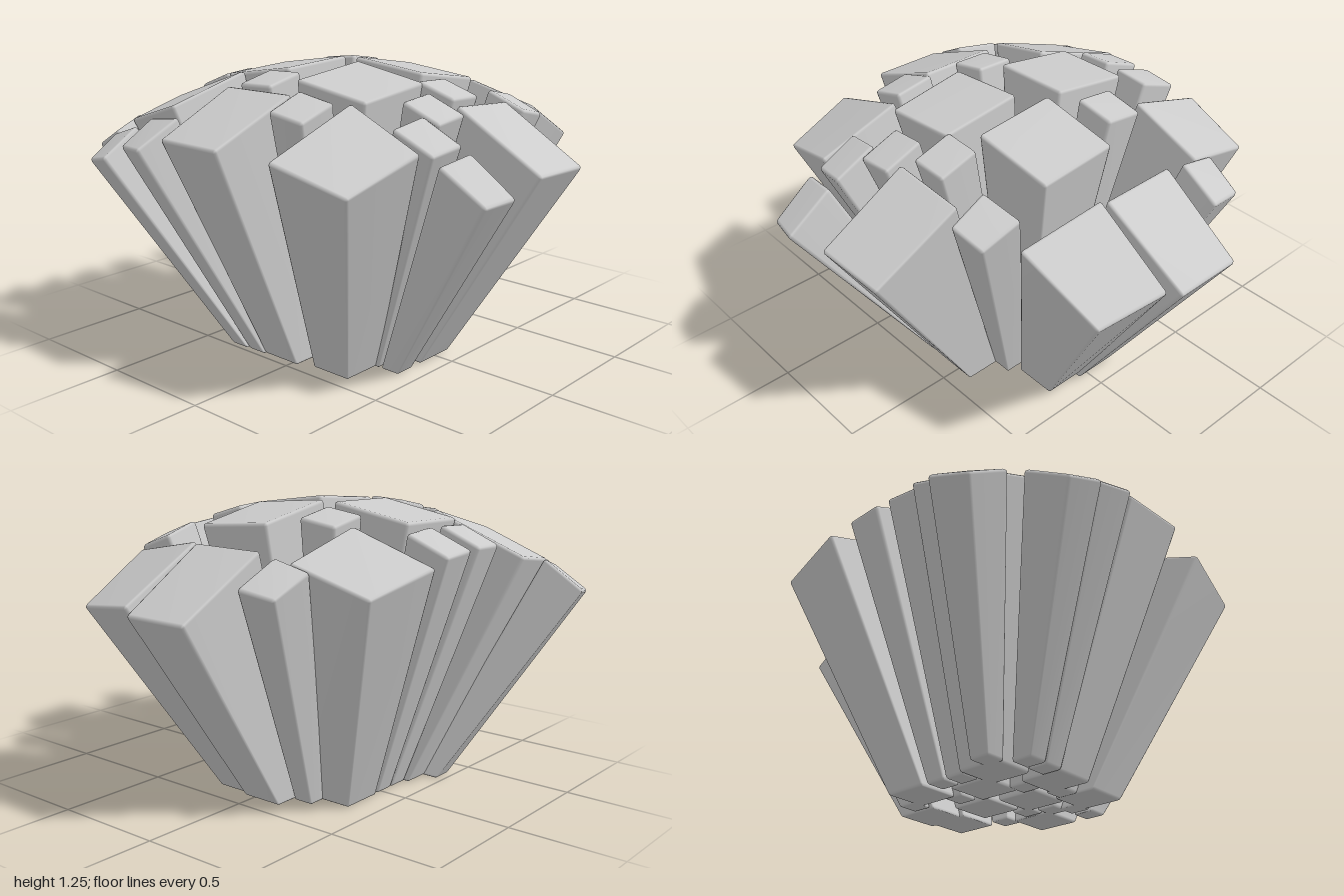
import * as THREE from 'three';
import { mergeVertices } from 'three/addons/utils/BufferGeometryUtils.js';
import { RoundedBoxGeometry } from 'three/addons/geometries/RoundedBoxGeometry.js';

// Top corners as x, z pairs: back -x, back +x, front +x, front -x
const wideTops = [
  [-.42, .01, -.05, .01, -.06, .375, -.415, .37],
  [.04, -.085, .41, -.085, .41, .275, .04, .285],
  [-.31, -.52, .045, -.52, .05, -.145, -.31, -.145],
  [-.64, -.78, -.31, -.85, -.325, -.39, -.69, -.44],
  [.235, -.785, .57, -.725, .605, -.375, .25, -.4],
  [.59, -.22, .985, -.195, .985, .11, .59, .125],
  [.575, .14, .95, .155, .895, .465, .53, .515],
  [-.1, .57, .24, .565, .22, .955, -.1, .97],
  [-.88, .31, -.45, .33, -.48, .695, -.82, .64],
  [-.92, -.24, -.535, -.265, -.535, .095, -.925, .08],
];
const slimTops = [
  [-.515, -.22, -.34, -.22, -.34, -.045, -.515, -.045],
  [-.675, .11, -.495, .1, -.495, .285, -.67, .28],
  [-.29, .45, -.125, .45, -.125, .63, -.29, .63],
  [-.07, .35, .1, .35, .1, .53, -.07, .53],
  [.13, -.355, .31, -.355, .31, -.175, .13, -.175],
  [.265, .46, .455, .435, .44, .62, .28, .635],
  [-.465, .545, -.3, .56, -.3, .75, -.455, .73],
  [-.47, .765, -.3, .785, -.3, .995, -.45, .965],
  [-.25, -.765, -.09, -.77, -.095, -.58, -.26, -.58],
  [-.03, -.775, .135, -.77, .135, -.575, -.03, -.575],
  [.6, -.475, .775, -.45, .795, -.285, .6, -.3],
  [-.7, -.945, -.545, -1, -.57, -.8, -.735, -.765],
  [-.945, -.675, -.77, -.725, -.795, -.54, -.985, -.525],
  [-.935, -.47, -.755, -.495, -.785, -.285, -.975, -.32],
];

// Dome that carries the top faces, and how far the feet draw in
const apex = { x: -.075, z: -.05, y: 1.25, radius: 1.7 };
const footScale = .45;

const domeHeight = (x, z) => {
  const r2 = (x - apex.x) ** 2 + (z - apex.z) ** 2;
  return apex.y - apex.radius + Math.sqrt(apex.radius ** 2 - r2);
};

// A bevelled box whose eight corners are moved to the foot square and the dome
function pillarGeometry(top, footSize, width) {
  const corners = [0, 2, 4, 6].map(i =>
    new THREE.Vector3(top[i], domeHeight(top[i], top[i + 1]), top[i + 1]));
  const mid = new THREE.Vector3();
  corners.forEach(c => mid.addScaledVector(c, .25));
  const footX = apex.x + (mid.x - apex.x) * footScale;
  const footZ = apex.z + (mid.z - apex.z) * footScale;

  const box = new RoundedBoxGeometry(width, 1, width, 1, .012);
  box.deleteAttribute('normal');
  box.deleteAttribute('uv');
  const geometry = mergeVertices(box, 1e-5);
  const pos = geometry.attributes.position;
  const p = new THREE.Vector3(), q = new THREE.Vector3();
  for (let i = 0; i < pos.count; i++) {
    p.fromBufferAttribute(pos, i);
    const u = p.x / width + .5, v = p.z / width + .5, t = p.y + .5;
    const weights = [(1 - u) * (1 - v), u * (1 - v), u * v, (1 - u) * v];
    q.set(0, 0, 0);
    corners.forEach((c, k) => q.addScaledVector(c, weights[k]));
    p.set(footX + (u - .5) * footSize, 0, footZ + (v - .5) * footSize).lerp(q, t);
    pos.setXYZ(i, p.x, p.y, p.z);
  }
  geometry.computeVertexNormals();
  return geometry;
}

export function createModel() {
  const model = new THREE.Group();
  model.name = 'pillarCluster';
  const material = new THREE.MeshStandardMaterial({ color: 0xcccccc });

  const addPillars = (name, tops, footSize, width) => {
    const group = new THREE.Group();
    group.name = name + 's';
    tops.forEach((top, i) => {
      const mesh = new THREE.Mesh(pillarGeometry(top, footSize, width), material);
      mesh.name = name + (i + 1);
      group.add(mesh);
    });
    model.add(group);
  };

  addPillars('widePillar', wideTops, .19, .36);
  addPillars('slimPillar', slimTops, .09, .17);
  return model;
}
